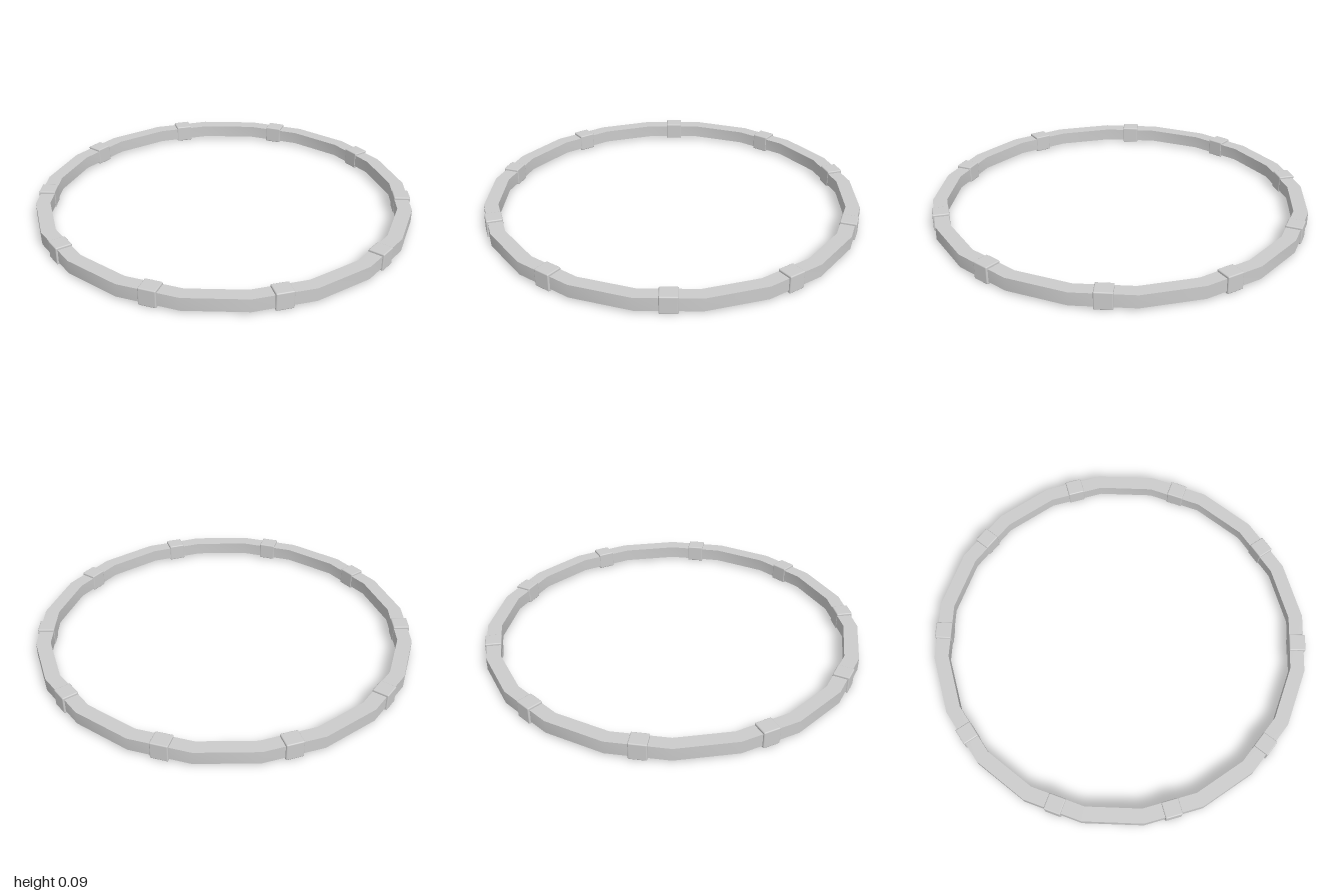
import * as THREE from 'three';
import { toCreasedNormals } from 'three/addons/utils/BufferGeometryUtils.js';
import { RoundedBoxGeometry } from 'three/addons/geometries/RoundedBoxGeometry.js';

const SIDES = 20;
const CLAMPS = 10;
const CENTRE_Y = 0.046;

export function createModel() {
  const group = new THREE.Group();
  group.name = 'segmentedRing';
  const material = new THREE.MeshStandardMaterial({ color: 0xcccccc });

  // Hoop: rectangular section swept round twenty straight sides
  const [inner, outer, half] = [0.925, 1, 0.034];
  const section = [
    [inner, -half], [outer, -half], [outer, half], [inner, half], [inner, -half],
  ].map(([r, y]) => new THREE.Vector2(r, y));
  const hoopGeometry = toCreasedNormals(new THREE.LatheGeometry(section, SIDES), Math.PI / 6);
  const hoop = new THREE.Mesh(hoopGeometry, material);
  hoop.name = 'hoop';
  hoop.position.y = CENTRE_Y;
  group.add(hoop);

  // Clamps: softened blocks around the middle of every second side
  const clampGeometry = new RoundedBoxGeometry(0.09, CENTRE_Y * 2, 0.086, 2, 0.006);
  for (let i = 0; i < CLAMPS; i++) {
    const angle = Math.PI / SIDES + (i * 2 * Math.PI) / CLAMPS;
    // Angle is measured from +x towards -z
    const clamp = new THREE.Mesh(clampGeometry, material);
    clamp.name = `clamp${i + 1}`;
    clamp.position.set(Math.cos(angle) * 0.954, CENTRE_Y, -Math.sin(angle) * 0.954);
    clamp.rotation.y = angle + Math.PI / 2;
    group.add(clamp);
  }

  return group;
}
